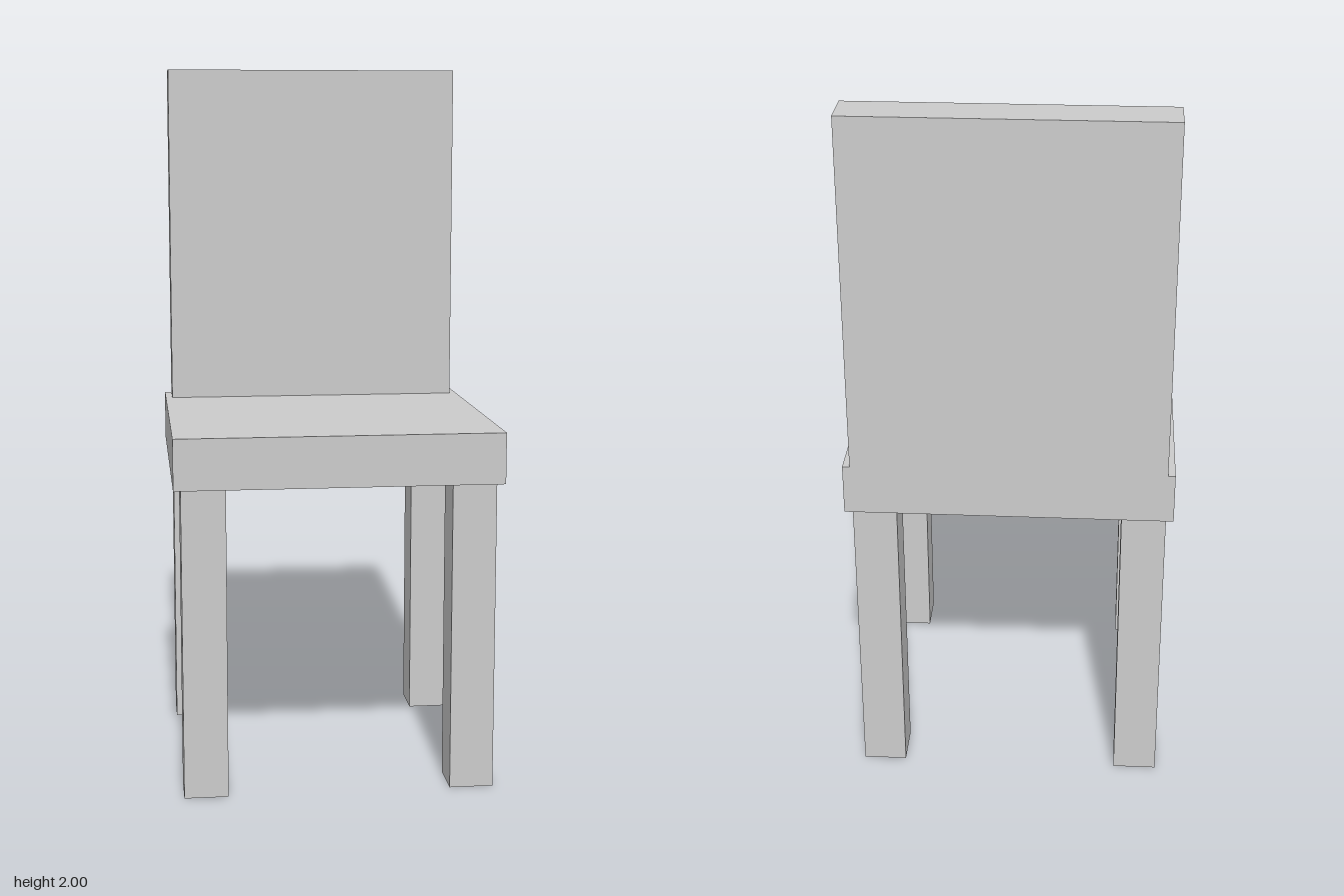
import * as THREE from 'three';

export function createModel() {
  const chair = new THREE.Group();
  chair.name = 'chair';

  const lightGrey = new THREE.MeshStandardMaterial({ color: 0xcccccc });
  lightGrey.name = 'lightGrey';

  function addBox(name, w, h, d, x, y, z) {
    const mesh = new THREE.Mesh(new THREE.BoxGeometry(w, h, d), lightGrey);
    mesh.name = name;
    mesh.position.set(x, y, z);
    chair.add(mesh);
  }

  const legHeight = 0.868, legWidth = 0.122;
  const seatThickness = 0.142, seatDepth = 0.864;
  const seatTop = legHeight + seatThickness;
  const backHeight = 2 - seatTop, backThickness = 0.122;

  // Seat slab
  addBox('seat', 0.904, seatThickness, seatDepth, 0, legHeight + seatThickness / 2, 0);

  // Backrest, flush with the rear edge of the seat
  addBox('backrest', 0.864, backHeight, backThickness,
    0, seatTop + backHeight / 2, -(seatDepth - backThickness) / 2);

  // Four square legs
  for (const [end, z] of [['front', 0.35], ['back', -0.35]]) {
    for (const [side, x] of [['Left', 0.371], ['Right', -0.371]]) {
      addBox(`${end}${side}Leg`, legWidth, legHeight, legWidth, x, legHeight / 2, z);
    }
  }

  return chair;
}
